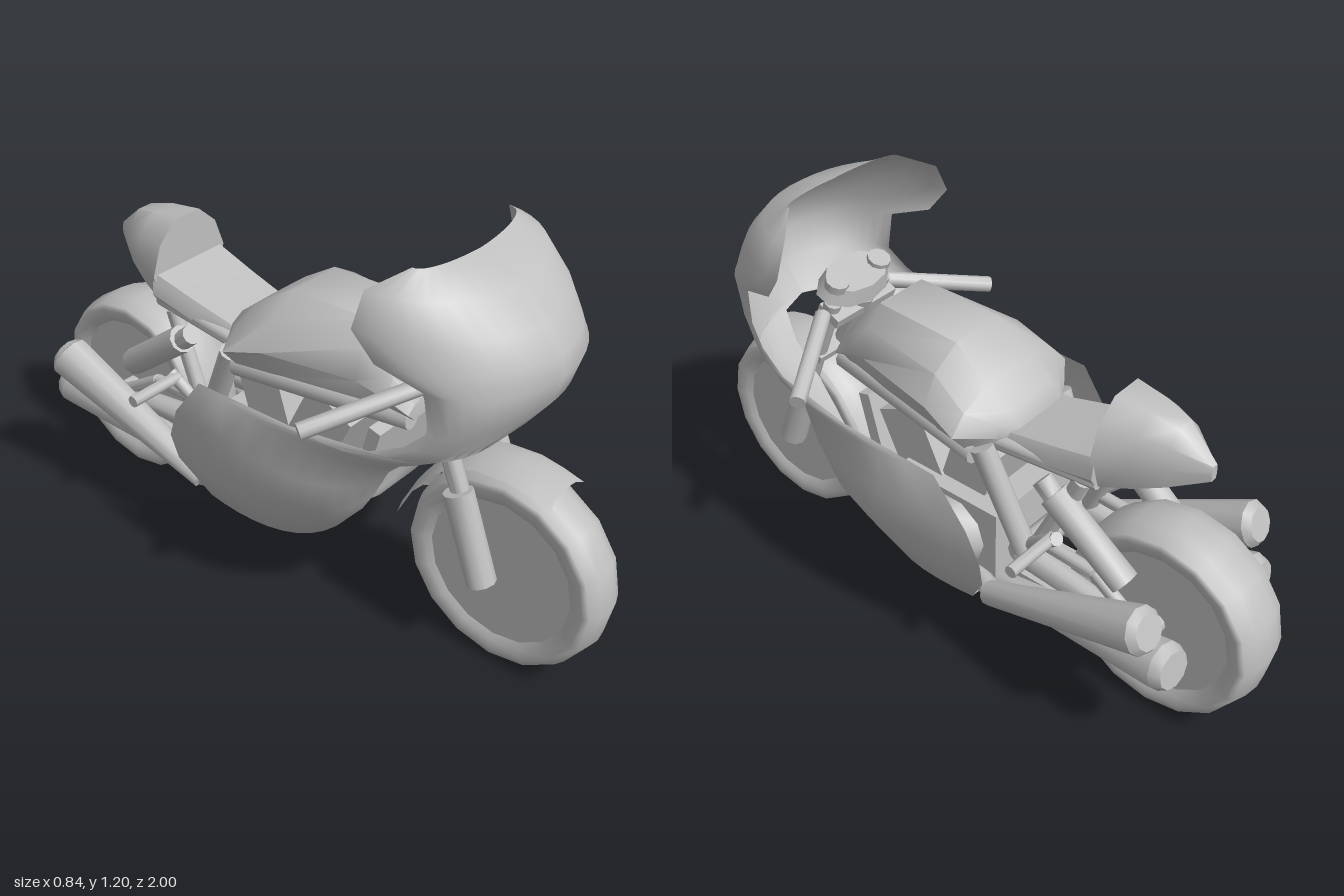
import * as THREE from 'three';
import { toCreasedNormals } from 'three/addons/utils/BufferGeometryUtils.js';

const gray = new THREE.MeshStandardMaterial({ color: 0xbfbfbf, side: THREE.DoubleSide });
gray.name = 'plain gray';

const V = (x, y, z) => new THREE.Vector3(x, y, z);

export function createModel() {
  const model = new THREE.Group();
  model.name = 'motorcycle';

  const add = (name, geometry, parent = model) => {
    const mesh = new THREE.Mesh(geometry, gray);
    mesh.name = name;
    parent.add(mesh);
    return mesh;
  };

  // Surface through rows of points with equal counts; rings may close and be capped
  const loft = (rows, ring = false, crease = 0.6) => {
    const n = rows[0].length, index = [], pos = rows.flat().flatMap((p) => [p.x, p.y, p.z]);
    const cols = ring ? n : n - 1;
    for (let i = 0; i < rows.length - 1; i++) {
      for (let j = 0; j < cols; j++) {
        const a = i * n + j, b = i * n + ((j + 1) % n);
        index.push(a, a + n, b, b, a + n, b + n);
      }
    }
    if (ring) {
      const last = (rows.length - 1) * n;
      for (let j = 1; j < n - 1; j++) index.push(0, j, j + 1, last, last + j + 1, last + j);
    }
    const g = new THREE.BufferGeometry();
    g.setAttribute('position', new THREE.Float32BufferAttribute(pos, 3));
    g.setIndex(index);
    g.computeVertexNormals();
    return toCreasedNormals(g, crease);
  };

  // Round bar between two points, with optional taper
  const bar = (name, a, b, r1, r2 = r1, parent = model) => {
    const d = b.clone().sub(a);
    const m = add(name, toCreasedNormals(new THREE.CylinderGeometry(r2, r1, d.length(), 10), 0.8), parent);
    m.position.copy(a).add(b).multiplyScalar(0.5);
    m.quaternion.setFromUnitVectors(V(0, 1, 0), d.normalize());
    return m;
  };

  const box = (name, w, h, d, x, y, z, rx = 0) => {
    const m = add(name, new THREE.BoxGeometry(w, h, d));
    m.position.set(x, y, z);
    m.rotation.x = rx;
    return m;
  };

  // Wheels: broad tyre with a shallow crown and a flat disc
  const wheel = (name, y, z, w) => {
    const g = new THREE.Group();
    g.name = name;
    g.position.set(0, y, z);
    const half = [[0.215, 0.75], [0.238, 0.95], [0.265, 1.01], [0.284, 0.97], [0.298, 0.5]];
    const profile = [...half.map(([r, t]) => [r, -t]), [0.304, 0], ...half.slice().reverse()];
    const tyre = add('tyre', new THREE.LatheGeometry(profile.map(([r, t]) => new THREE.Vector2(r, t * w)), 16), g);
    tyre.rotation.z = Math.PI / 2;
    const disc = add('wheelDisc', toCreasedNormals(new THREE.CylinderGeometry(0.222, 0.222, w * 1.6, 16), 0.8), g);
    disc.rotation.z = Math.PI / 2;
    model.add(g);
  };
  wheel('frontWheel', 0.307, 0.698, 0.075);
  wheel('rearWheel', 0.317, -0.692, 0.095);

  // Fairing: each row runs from its front edge [x, y, z] to its rear edge [x, y, z], then exponent and bulge
  const fairingRows = [
    [0, 1.195, 0.53, 0.21, 1.207, 0.48, 1, 0],
    [0, 1.15, 0.66, 0.3, 1.16, 0.41, 1, 0],
    [0, 1.07, 0.74, 0.34, 1.07, 0.405, 1.04, 0],
    [0, 1.0, 0.785, 0.325, 0.99, 0.465, 1.04, 0],
    [0, 0.935, 0.795, 0.293, 0.945, 0.59, 1.04, 0],
    [0, 0.84, 0.76, 0.283, 0.83, 0.6, 1.02, 0],
    [0, 0.758, 0.7, 0.3, 0.775, 0.545, 0.95, 0],
    [0.085, 0.745, 0.68, 0.315, 0.725, 0.45, 0.85, 0],
    [0.135, 0.7, 0.59, 0.33, 0.695, 0.2, 0.65, 0.015],
    [0.155, 0.63, 0.48, 0.33, 0.685, -0.13, 0.6, 0.025],
    [0.165, 0.55, 0.4, 0.325, 0.545, -0.235, 0.55, 0.05],
    [0.155, 0.44, 0.345, 0.315, 0.44, -0.275, 0.55, 0.05],
    [0.12, 0.34, 0.28, 0.295, 0.35, -0.268, 0.55, 0.035],
    [0.06, 0.24, 0.2, 0.245, 0.222, -0.19, 0.6, 0.03],
    [0.01, 0.2, 0.14, 0.14, 0.187, -0.17, 0.6, 0.01],
    [0, 0.187, 0.11, 0, 0.182, -0.16, 1, 0],
  ];
  const fairing = loft(fairingRows.map(([x0, y0, z0, x1, y1, z1, p, bulge]) =>
    Array.from({ length: 11 }, (_, i) => {
      const t = (i / 10) * Math.PI / 2, s = Math.sin(t), u = i / 10;
      return V(x0 + (x1 - x0) * Math.pow(s, p) + bulge * Math.sin(2 * t),
        y0 + (y1 - y0) * u, z1 + (z0 - z1) * Math.cos(t));
    })), false, 0.9);
  add('fairingLeft', fairing);
  add('fairingRight', fairing).scale.x = -1;

  // Body section: flat top, sloping shoulders and a flat bottom
  const section = ([z, w, top, low, deck]) => {
    const mid = low + (top - low) * 0.4;
    return [V(-deck, top, z), V(deck, top, z), V((deck + w * 2) / 3, top - (top - mid) * 0.4, z), V(w, mid, z),
      V(w * 0.8, low, z), V(-w * 0.8, low, z), V(-w, mid, z), V(-(deck + w * 2) / 3, top - (top - mid) * 0.4, z)];
  };
  add('fuelTank', loft([[0.43, 0.13, 0.76, 0.7, 0.06], [0.37, 0.145, 0.85, 0.69, 0.075], [0.28, 0.165, 0.93, 0.69, 0.085],
    [0, 0.22, 0.92, 0.69, 0.085], [-0.12, 0.245, 0.84, 0.69, 0.1], [-0.19, 0.15, 0.785, 0.69, 0.09],
    [-0.22, 0.1, 0.74, 0.69, 0.08]].map(section), true, 0.8));

  // Seat and tail
  add('seat', loft([[-0.2, 0.125, 0.735, 0.68, 0.11], [-0.35, 0.14, 0.77, 0.68, 0.12],
    [-0.5, 0.145, 0.81, 0.705, 0.13]].map(section), true));
  add('tailCowl', loft([[-0.49, 0.145, 0.955, 0.705, 0.05], [-0.59, 0.115, 0.945, 0.735, 0.04],
    [-0.67, 0.08, 0.925, 0.765, 0.025], [-0.765, 0.012, 0.845, 0.8, 0.008]].map(section), true, 0.8));

  // Front mudguard: arched strip over the wheel
  const guardPath = [[0.83, 0.615], [0.77, 0.63], [0.7, 0.64], [0.6, 0.63], [0.52, 0.595], [0.46, 0.54], [0.41, 0.47], [0.36, 0.37]];
  add('frontMudguard', loft(guardPath.map(([z, y]) => [[-0.08, 0.02], [-0.05, 0.005], [0, 0], [0.05, 0.005], [0.08, 0.02]]
    .map(([x, d]) => V(x, y - d, z + d * 0.5)))));

  // Steering head, clamps and instruments
  box('lowerClamp', 0.24, 0.025, 0.06, 0, 0.665, 0.535, -0.4);
  box('upperClamp', 0.24, 0.03, 0.08, 0, 0.83, 0.46, -0.4);
  bar('steeringStem', V(0, 0.64, 0.54), V(0, 0.86, 0.43), 0.03);
  const dash = add('instrumentPanel', toCreasedNormals(new THREE.CylinderGeometry(0.11, 0.13, 0.05, 10), 0.7));
  dash.position.set(0, 0.905, 0.465);
  dash.rotation.x = -0.35;
  dash.scale.z = 0.62;

  // Engine and frame core
  box('crankcase', 0.36, 0.24, 0.36, 0, 0.37, -0.04);
  box('frontCylinders', 0.28, 0.26, 0.16, 0, 0.53, 0.12, 0.45);
  box('rearCylinders', 0.26, 0.22, 0.15, 0, 0.56, -0.08, -0.3);
  box('radiator', 0.26, 0.26, 0.04, 0, 0.5, 0.29, 0.25);
  box('undertray', 0.18, 0.03, 0.28, 0, 0.215, -0.29);
  bar('swingarmPivot', V(-0.15, 0.37, -0.28), V(0.15, 0.37, -0.28), 0.04);
  bar('rearAxle', V(-0.15, 0.317, -0.692), V(0.15, 0.317, -0.692), 0.03);

  // Parts mirrored on both sides
  for (const s of [1, -1]) {
    const g = new THREE.Group();
    g.name = s > 0 ? 'leftParts' : 'rightParts';
    model.add(g);
    const rod = (name, a, b, r1, r2) =>
      bar(name, V(a[0] * s, a[1], a[2]), V(b[0] * s, b[1], b[2]), r1, r2, g);
    rod('forkLower', [0.108, 0.29, 0.677], [0.108, 0.548, 0.583], 0.042, 0.042);
    rod('forkUpper', [0.1, 0.53, 0.59], [0.1, 0.87, 0.455], 0.026);
    rod('handlebar', [0.13, 0.835, 0.47], [0.405, 0.76, 0.295], 0.024);
    rod('dial', [0.085, 0.915, 0.455], [0.085, 0.94, 0.445], 0.035);
    rod('frameRail', [0.1, 0.7, 0.42], [0.17, 0.67, -0.14], 0.035);
    rod('rearFrameTube', [0.17, 0.7, -0.16], [0.14, 0.38, -0.3], 0.034);
    rod('seatStrut', [0.13, 0.36, -0.3], [0.11, 0.7, -0.45], 0.025);
    rod('seatRail', [0.13, 0.7, -0.14], [0.11, 0.72, -0.5], 0.022);
    rod('swingarm', [0.135, 0.37, -0.28], [0.135, 0.317, -0.72], 0.04, 0.03);
    rod('swingarmBrace', [0.13, 0.44, -0.34], [0.13, 0.43, -0.52], 0.02);
    rod('swingarmStay', [0.13, 0.43, -0.52], [0.135, 0.33, -0.68], 0.02);
    rod('shockAbsorber', [0.145, 0.64, -0.385], [0.135, 0.46, -0.62], 0.042);
    rod('shockCap', [0.145, 0.67, -0.345], [0.145, 0.635, -0.385], 0.03);
    rod('footPeg', [0.16, 0.51, -0.4], [0.34, 0.51, -0.4], 0.018);
    rod('footPegBracket', [0.14, 0.42, -0.31], [0.17, 0.52, -0.42], 0.02);
    rod('engineCover', [0.17, 0.36, -0.06], [0.225, 0.36, -0.06], 0.12, 0.1);
    rod('exhaustPipe', [0.13, 0.24, -0.05], [0.225, 0.255, -0.25], 0.03);
    rod('upperMuffler', [0.23, 0.255, -0.24], [0.265, 0.48, -0.765], 0.036, 0.067);
    rod('upperMufflerTip', [0.265, 0.48, -0.765], [0.266, 0.488, -0.785], 0.067, 0.05);
    rod('lowerMuffler', [0.16, 0.235, -0.22], [0.215, 0.345, -0.81], 0.036, 0.07);
    rod('lowerMufflerTip', [0.215, 0.345, -0.81], [0.218, 0.35, -0.84], 0.07, 0.055);
  }
  return model;
}
